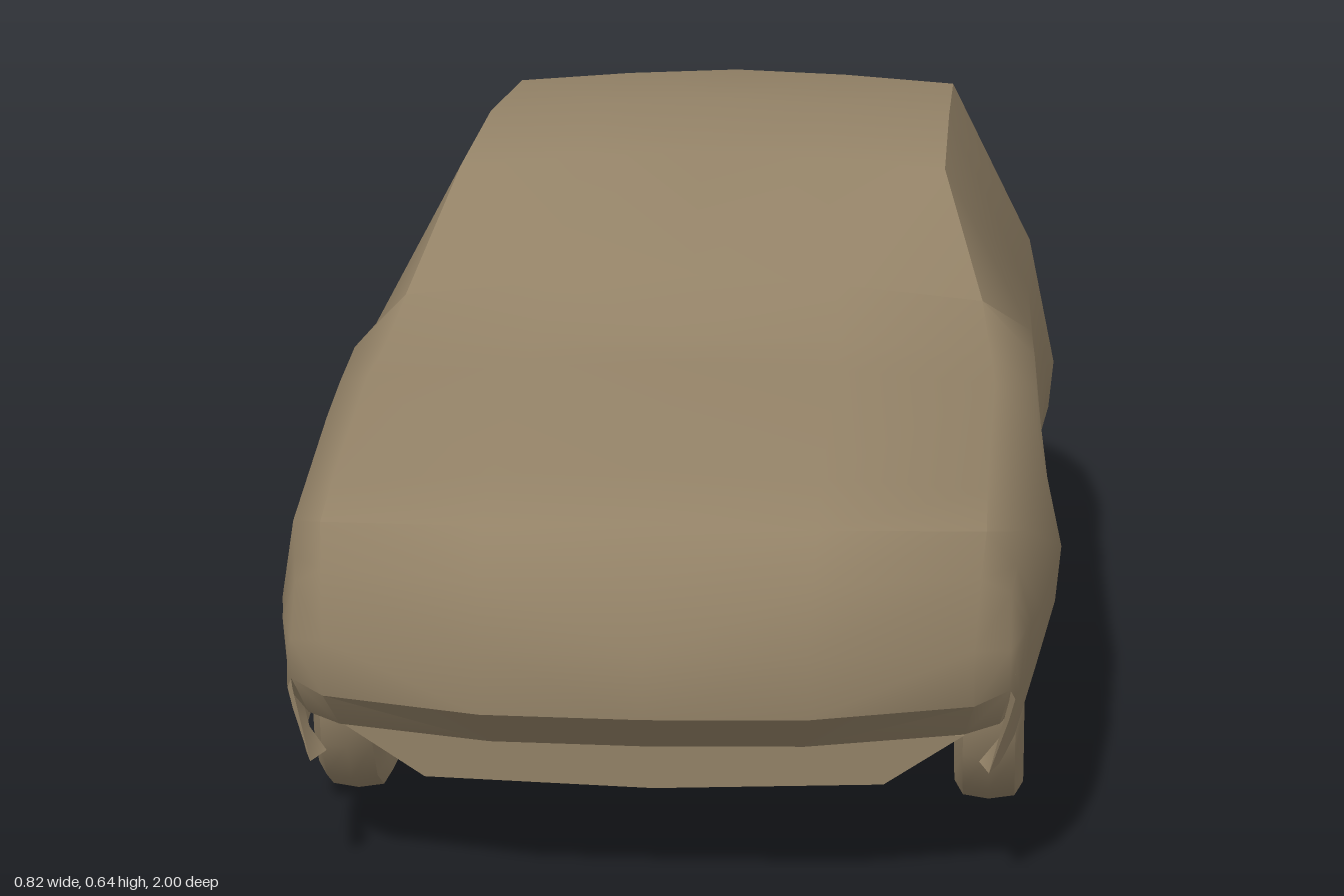
import * as THREE from 'three';
import { toCreasedNormals } from 'three/addons/utils/BufferGeometryUtils.js';

const cloth = new THREE.MeshStandardMaterial({ color: 0x928166, side: THREE.DoubleSide });
cloth.name = 'khaki';

function add(parent, name, geometry, x = 0, y = 0, z = 0) {
  const m = new THREE.Mesh(geometry, cloth);
  m.name = name;
  m.position.set(x, y, z);
  parent.add(m);
  return m;
}
const box = (parent, name, w, h, d, x, y, z) => add(parent, name, new THREE.BoxGeometry(w, h, d), x, y, z);

// A straight rod between two points
function rod(parent, name, a, b, r, sides = 8) {
  const p = new THREE.Vector3(...a), q = new THREE.Vector3(...b), d = q.clone().sub(p);
  const m = add(parent, name, new THREE.CylinderGeometry(r, r, d.length(), sides));
  m.position.copy(p).add(q).multiplyScalar(0.5);
  m.quaternion.setFromUnitVectors(new THREE.Vector3(0, 1, 0), d.normalize());
  return m;
}

// Fitted cover, lofted nose to tail: z, waist x y, shoulder x y, top edge x y, crown y
const STATIONS = [
  [0.95, 0.35, 0.16, 0.345, 0.155, 0.31, 0.15, 0.145],
  [1.0, 0.36, 0.19, 0.355, 0.2, 0.32, 0.19, 0.185],
  [1.0, 0.36, 0.23, 0.355, 0.24, 0.32, 0.245, 0.25],
  [0.97, 0.37, 0.25, 0.355, 0.29, 0.325, 0.31, 0.315],
  [0.935, 0.375, 0.25, 0.36, 0.31, 0.33, 0.35, 0.365],
  [0.82, 0.385, 0.25, 0.372, 0.33, 0.33, 0.375, 0.395],
  [0.5, 0.408, 0.25, 0.38, 0.38, 0.335, 0.425, 0.445],
  [0.4, 0.4, 0.25, 0.38, 0.4, 0.33, 0.44, 0.457],
  [0.3, 0.395, 0.25, 0.378, 0.42, 0.32, 0.48, 0.505],
  [0.15, 0.39, 0.25, 0.375, 0.42, 0.275, 0.605, 0.622],
  [-0.15, 0.39, 0.25, 0.372, 0.42, 0.275, 0.628, 0.645],
  [-0.5, 0.4, 0.25, 0.375, 0.42, 0.275, 0.622, 0.638],
  [-0.58, 0.408, 0.25, 0.375, 0.41, 0.28, 0.595, 0.612],
  [-0.75, 0.39, 0.26, 0.365, 0.4, 0.29, 0.505, 0.525],
  [-0.94, 0.355, 0.25, 0.345, 0.36, 0.3, 0.41, 0.425],
  [-0.975, 0.34, 0.25, 0.335, 0.33, 0.3, 0.365, 0.375],
  [-1.0, 0.335, 0.2, 0.33, 0.21, 0.3, 0.205, 0.2],
  [-0.985, 0.33, 0.155, 0.325, 0.145, 0.3, 0.13, 0.12],
];

function coverGeometry() {
  const pos = [], index = [];
  let n = 0;
  for (const [z, xb, yb, xc, yc, xd, yd, top] of STATIONS) {
    const half = [
      [xb - 0.025, 0.12], [xb - 0.006, Math.min(0.19, yb - 0.02)], [xb, yb], [xc, yc], [xd, yd],
      [xd * 0.5, top - 0.35 * (top - yd)],
    ];
    const row = [...half, [0, top], ...half.map(([x, y]) => [-x, y]).reverse()];
    n = row.length;
    // Corners sweep back at the nose and round in at the tail
    const nose = THREE.MathUtils.clamp((z - 0.75) / 0.2, 0, 1);
    const tail = THREE.MathUtils.clamp((-z - 0.8) / 0.15, 0, 1);
    for (const [x, y] of row) {
      const t = Math.abs(x) / 0.36;
      pos.push(x, y, z - 0.085 * nose * t ** 4 + 0.06 * tail * t ** 10);
    }
  }
  for (let i = 0; i < STATIONS.length - 1; i++) {
    for (let j = 0; j < n - 1; j++) {
      const a = i * n + j, b = a + 1, c = a + n, d = c + 1;
      // Mirror the split so both halves match
      if (j < (n - 1) / 2) index.push(a, c, b, b, c, d);
      else index.push(a, d, b, a, c, d);
    }
  }
  const g = new THREE.BufferGeometry();
  g.setAttribute('position', new THREE.Float32BufferAttribute(pos, 3));
  g.setIndex(index);
  return toCreasedNormals(g, 0.85);
}

// Tyre and dished rim
function wheel(parent, name, x, z) {
  const g = new THREE.Group();
  g.name = name;
  g.position.set(x, 0.124, z);
  g.rotation.z = x > 0 ? -Math.PI / 2 : Math.PI / 2;
  parent.add(g);
  const tyre = [[0.072, -0.03], [0.105, -0.036], [0.12, -0.027], [0.124, 0], [0.12, 0.027], [0.105, 0.036], [0.072, 0.03], [0.072, -0.03]];
  add(g, 'tyre', toCreasedNormals(new THREE.LatheGeometry(tyre.map(p => new THREE.Vector2(...p)), 14), 0.8));
  const rim = [[0.072, -0.028], [0.062, -0.012], [0.06, 0.008], [0.03, 0.016], [0, 0.016]];
  add(g, 'rim', toCreasedNormals(new THREE.LatheGeometry(rim.map(p => new THREE.Vector2(...p)), 14), 0.6));
  add(g, 'brakeDrum', new THREE.CylinderGeometry(0.05, 0.05, 0.03, 12), 0, -0.012, 0);
}

export function createModel() {
  const car = new THREE.Group();
  car.name = 'coveredCar';
  add(car, 'cover', coverGeometry());

  // Floor pan, with a raised bay at each end
  const under = new THREE.Group();
  under.name = 'underbody';
  car.add(under);
  box(under, 'floorPan', 0.58, 0.02, 0.86, 0, 0.13, -0.02);
  box(under, 'engineBay', 0.58, 0.01, 0.5, 0, 0.19, 0.64);
  box(under, 'rearFloor', 0.58, 0.01, 0.52, 0, 0.17, -0.7);
  box(under, 'tailPanel', 0.6, 0.04, 0.02, 0, 0.14, -0.95);
  box(under, 'tunnel', 0.09, 0.025, 0.8, 0, 0.112, -0.03);

  // Chin panel under the nose
  const chin = new THREE.Shape();
  [[-0.31, 0.14], [-0.23, 0.088], [0, 0.08], [0.23, 0.088], [0.31, 0.14]].forEach(([x, y], i) =>
    i ? chin.lineTo(x, y) : chin.moveTo(x, y));
  add(under, 'chinPanel', new THREE.ExtrudeGeometry(chin, { depth: 0.07, bevelEnabled: false }), 0, 0, 0.8);

  // Engine, gearbox and drive shaft
  box(under, 'oilPan', 0.13, 0.07, 0.2, 0, 0.13, 0.62);
  rod(under, 'gearbox', [0, 0.13, 0.52], [0, 0.125, 0.26], 0.04, 10);
  rod(under, 'driveShaft', [0, 0.115, 0.26], [0, 0.12, -0.58], 0.013);
  rod(under, 'frontCrossmember', [-0.29, 0.12, 0.59], [0.29, 0.12, 0.59], 0.02);
  rod(under, 'steeringRod', [-0.29, 0.11, 0.67], [0.29, 0.11, 0.67], 0.008);

  // Rear axle, tank and exhaust
  rod(under, 'rearAxle', [-0.31, 0.124, -0.6], [0.31, 0.124, -0.6], 0.018);
  add(under, 'differential', new THREE.SphereGeometry(0.05, 10, 8), 0, 0.124, -0.6);
  box(under, 'fuelTank', 0.24, 0.05, 0.2, -0.1, 0.145, -0.82);
  rod(under, 'exhaustPipe', [0.08, 0.11, 0.5], [0.1, 0.105, -0.45], 0.01);
  rod(under, 'exhaustTail', [0.1, 0.15, -0.45], [0.2, 0.13, -0.95], 0.01);
  const muffler = rod(under, 'muffler', [0.1, 0.11, 0.02], [0.1, 0.11, -0.2], 0.03, 10);
  muffler.scale.x = 1.2;

  for (const s of [1, -1]) {
    const side = s > 0 ? 'left' : 'right';
    wheel(car, side + 'FrontWheel', s * 0.334, 0.59);
    wheel(car, side + 'RearWheel', s * 0.334, -0.605);
    box(under, side + 'Sill', 0.08, 0.03, 0.86, s * 0.325, 0.125, -0.02);
    box(under, side + 'FloorRib', 0.05, 0.012, 0.72, s * 0.2, 0.115, -0.03);
    box(under, side + 'FrontRail', 0.04, 0.05, 0.44, s * 0.23, 0.15, 0.62);
    box(under, side + 'RearRail', 0.035, 0.03, 0.5, s * 0.24, 0.15, -0.69);
    rod(under, side + 'ControlArm', [s * 0.29, 0.1, 0.58], [s * 0.2, 0.115, 0.44], 0.01);
    rod(under, side + 'TrailingArm', [s * 0.25, 0.115, -0.6], [s * 0.2, 0.125, -0.38], 0.012);
    rod(under, side + 'Damper', [s * 0.22, 0.11, -0.62], [s * 0.2, 0.2, -0.7], 0.012);
    // Mud flaps behind the wheels
    for (const [end, z] of [['Front', 0.43], ['Rear', -0.775]]) {
      const flap = box(under, side + end + 'MudFlap', 0.125, 0.09, 0.012, s * 0.302, 0.103, z);
      flap.rotation.x = 0.08;
    }
  }
  return car;
}
